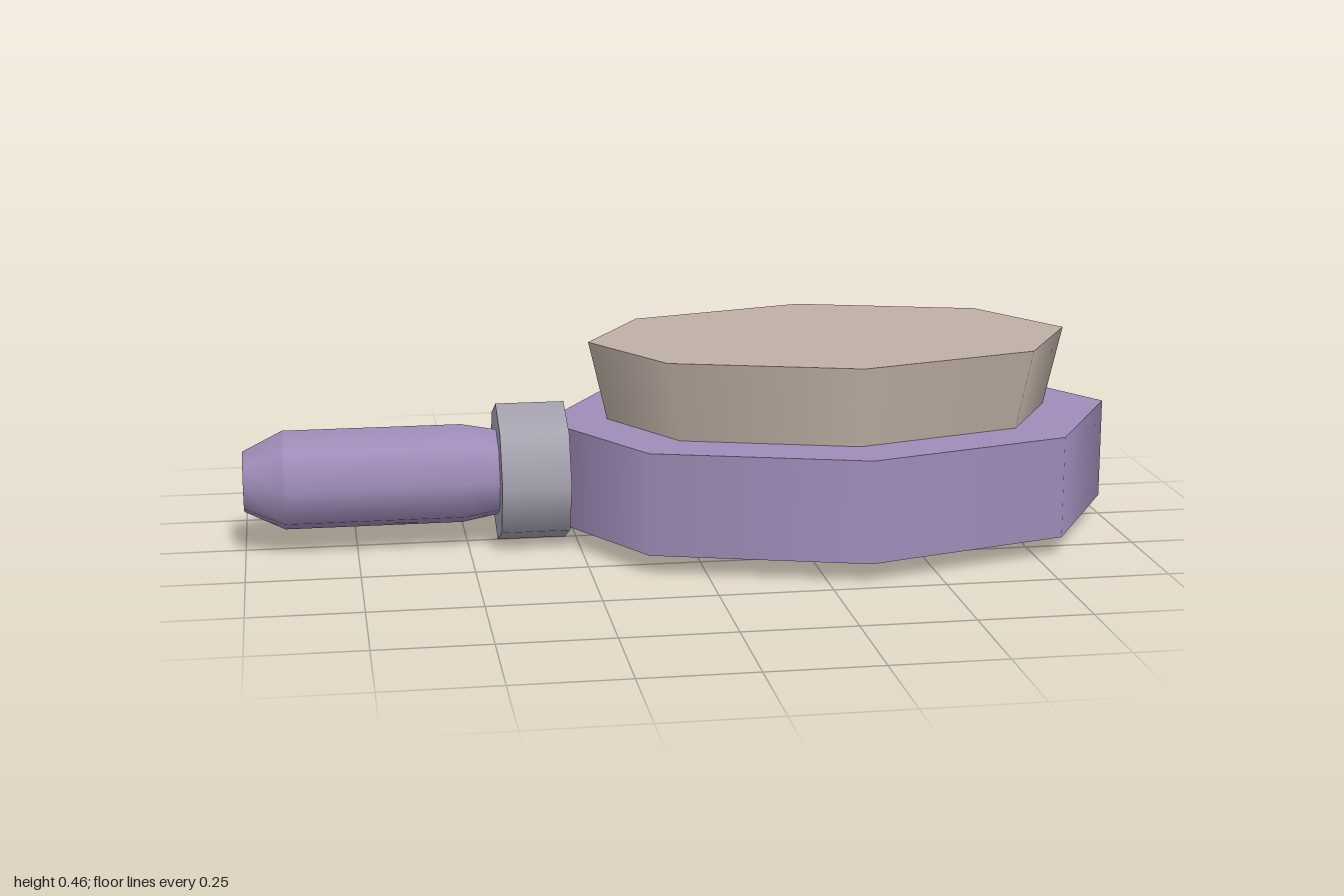
import * as THREE from 'three';

const mat = (name, color) => {
  const m = new THREE.MeshStandardMaterial({ color });
  m.name = name;
  return m;
};

export function createModel() {
  const purple = mat('purple', 0xa08cb9);
  const tan = mat('tan', 0xbfb0a5);
  const grey = mat('grey', 0xa6a3b0);
  const group = new THREE.Group();
  const SIDES = 8, HEAD_X = 0.34, AXIS_Y = 0.16;

  const add = (name, geometry, material, x, y) => {
    const mesh = new THREE.Mesh(geometry, material);
    mesh.name = name;
    mesh.position.set(x, y, 0);
    group.add(mesh);
  };

  // Eight-sided section along x, from x0 (radius r0) to x1 (radius r1)
  const section = (name, x0, r0, x1, r1, material, open = false) => {
    const g = new THREE.CylinderGeometry(r0, r1, x1 - x0, SIDES, 1, open);
    g.rotateZ(Math.PI / 2);
    add(name, g, material, (x0 + x1) / 2, AXIS_Y);
  };

  // Oval head
  const head = new THREE.CylinderGeometry(1, 1, 0.23, SIDES);
  head.scale(0.66, 1, 0.472);
  add('head', head, purple, HEAD_X, 0.16);

  // Flared bristle block, its diagonal corners pulled slightly along the length
  const bristles = new THREE.CylinderGeometry(1, 0.925, 0.18, SIDES);
  bristles.scale(0.557, 1, 0.373);
  const p = bristles.attributes.position;
  for (let i = 0; i < p.count; i++) {
    if (Math.abs(p.getX(i)) > 0.01 && Math.abs(p.getZ(i)) > 0.01) {
      p.setX(i, p.getX(i) * 1.05);
      p.setZ(i, p.getZ(i) * 0.95);
    }
  }
  add('bristles', bristles, tan, HEAD_X, 0.365);

  // Collar and tapered handle
  section('collar', -0.43, 0.16, -0.275, 0.16, grey);
  section('handleNeck', -0.51, 0.115, -0.43, 0.1, purple, true);
  section('handleGrip', -0.91, 0.115, -0.51, 0.115, purple, true);
  section('handleTip', -1, 0.07, -0.91, 0.115, purple);

  return group;
}
